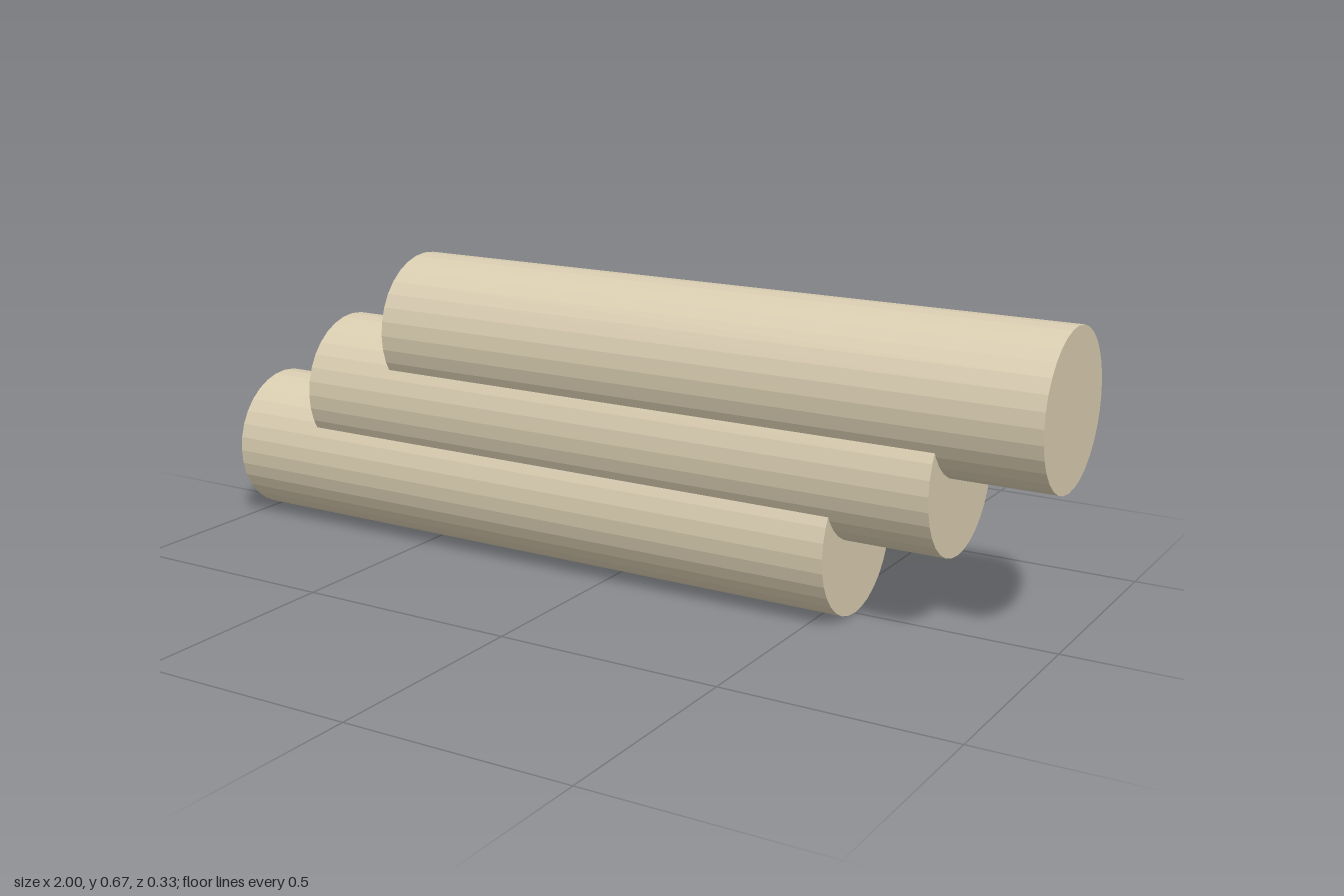
import * as THREE from 'three';

const RADIUS = 1 / 6;
const LENGTH = 14 / 9;
const SHIFT = 2 / 9; // sideways step from one log to the next

export function createModel() {
  const model = new THREE.Group();
  model.name = 'steppedLogs';

  const material = new THREE.MeshStandardMaterial({ color: 0xd8ccb0, flatShading: true });
  const geometry = new THREE.CylinderGeometry(RADIUS, RADIUS, LENGTH, 32).rotateZ(Math.PI / 2);

  // Three overlapping logs, each one radius higher and shifted toward +x
  ['bottomLog', 'middleLog', 'topLog'].forEach((name, i) => {
    const log = new THREE.Mesh(geometry, material);
    log.name = name;
    log.position.set((i - 1) * SHIFT, (i + 1) * RADIUS, 0);
    model.add(log);
  });

  return model;
}
